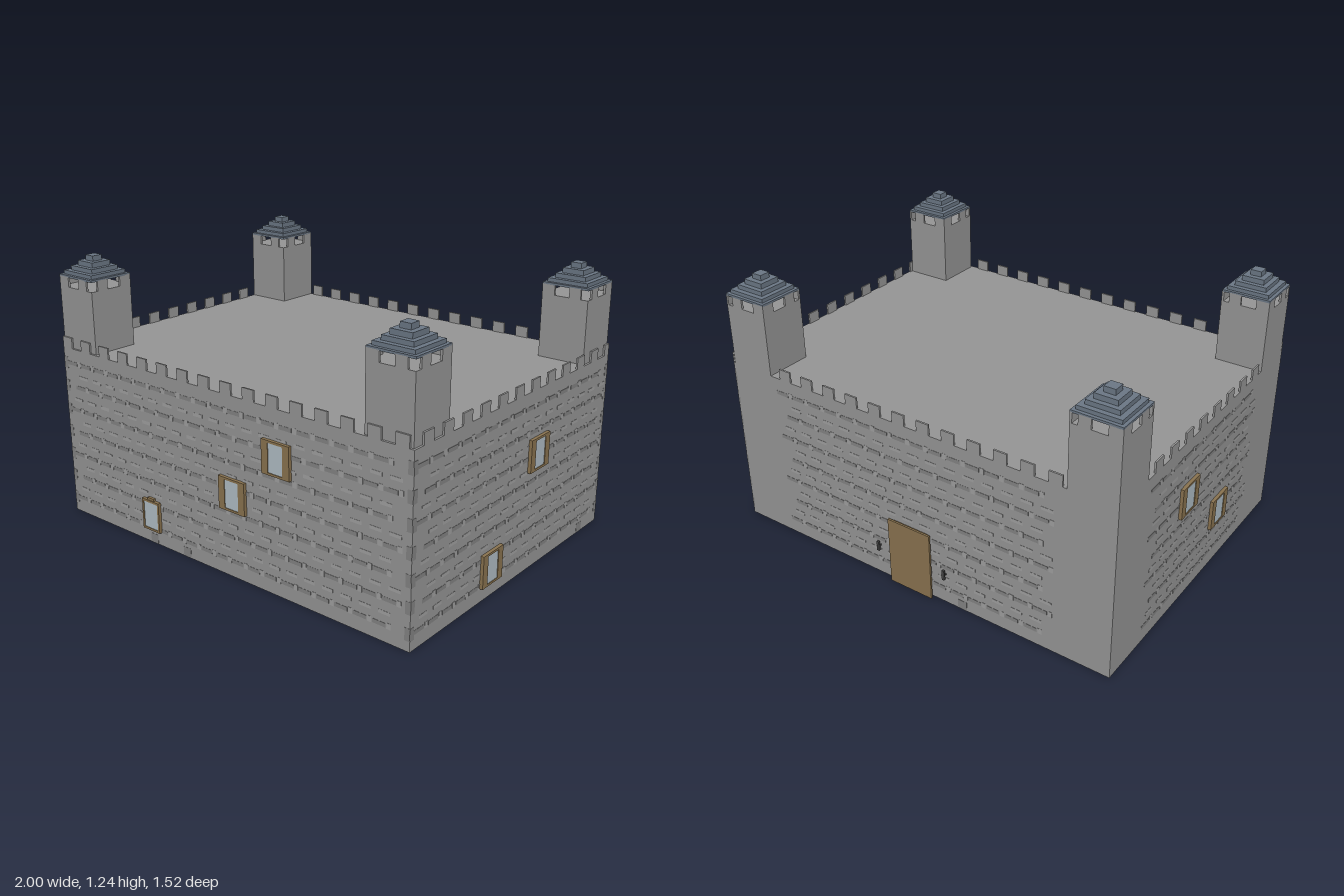
import * as THREE from 'three';
import { mergeGeometries } from 'three/addons/utils/BufferGeometryUtils.js';

const mat = (color) => new THREE.MeshStandardMaterial({ color });
const stone = mat(0x979797), darkStone = mat(0x858585), lightStone = mat(0xa2a2a2);
const slate = mat(0x6c7886), wood = mat(0x8b7450), glass = mat(0xb2bfc7), iron = mat(0x484848);

// Box given by its two opposite corners
function boxGeo(x0, x1, y0, y1, z0, z1) {
  return new THREE.BoxGeometry(x1 - x0, y1 - y0, z1 - z0)
    .translate((x0 + x1) / 2, (y0 + y1) / 2, (z0 + z1) / 2);
}
function add(parent, name, geos, material) {
  const list = Array.isArray(geos) ? geos : [geos];
  const mesh = new THREE.Mesh(mergeGeometries(list), material);
  mesh.name = name;
  parent.add(mesh);
}

// Window in wall space: wood frame of four bars around a shallow pane
function addWindow(wall, u, y, w, h, side, rail) {
  const g = new THREE.Group();
  g.name = 'window';
  const d = 0.015, a = w / 2, b = h / 2;
  add(g, 'windowFrame', [
    boxGeo(-a, -a + side, -b, b, -0.01, d),
    boxGeo(a - side, a, -b, b, -0.01, d),
    boxGeo(-a + side, a - side, b - rail, b, -0.01, d),
    boxGeo(-a + side, a - side, -b, -b + rail, -0.01, d),
  ], wood);
  add(g, 'windowPane', boxGeo(-a + side, a - side, -b + rail, b - rail, -0.01, 0.012), glass);
  g.position.set(u, y, 0);
  wall.add(g);
  return g;
}

// Staggered courses of barely raised bricks, dark and light
function addBricks(wall, u0, u1) {
  const dark = [], light = [];
  const pitch = 0.093, row = 0.112, out = 0.001;
  for (let r = 0; r < 7; r++) {
    const y = 0.073 + r * row;
    const shift = (r % 2) * pitch / 2;
    for (let u = u0 + 0.025 + shift; u + pitch < u1; u += pitch) {
      dark.push(boxGeo(u, u + 0.065, y - 0.009, y + 0.009, -0.01, out));
      light.push(boxGeo(u + 0.069, u + 0.089, y - 0.012, y + 0.014, -0.01, out));
      if (r < 6) light.push(boxGeo(u + 0.03, u + 0.085, y + 0.045, y + 0.06, -0.01, out));
    }
  }
  add(wall, 'darkBricks', dark, darkStone);
  add(wall, 'lightBricks', light, lightStone);
}

// Battlement teeth along the top edge
function addMerlons(wall, start, end, min) {
  const teeth = [];
  for (let u = start; u < end - 0.01; u += 0.1257) {
    teeth.push(boxGeo(Math.max(u, min), Math.min(u + 0.0625, end), 0.815, 0.865, -0.008, 0));
  }
  add(wall, 'merlons', teeth, stone);
}

// Small foundation block at the foot of a wall
function addBlock(wall, u) {
  add(wall, 'footBlock', boxGeo(u - 0.023, u + 0.023, 0, 0.045, -0.01, 0.001), darkStone);
}

// Corner tower: shaft, open lookout with posts, stepped slate roof
function makeTower(x, z) {
  const t = new THREE.Group();
  t.name = 'tower';
  const h = 0.11, thick = 0.01;
  add(t, 'towerShaft', boxGeo(-h, h, 0, 1.1, -h, h), stone);
  const posts = [];
  for (const near of [-h, h - thick]) {
    for (const [a, b] of [[-h, -0.05], [0.02, 0.075]]) {
      posts.push(boxGeo(a, b, 1.1, 1.146, near, near + thick));
      posts.push(boxGeo(near, near + thick, 1.1, 1.146, a, b));
    }
  }
  add(t, 'lookoutPosts', posts, stone);
  const steps = [[0.11, 1.143, 1.153], [0.095, 1.153, 1.17], [0.072, 1.17, 1.19],
    [0.05, 1.19, 1.213], [0.025, 1.213, 1.237]];
  for (const [r, y0, y1] of steps) add(t, 'roofStep', boxGeo(-r, r, y0, y1, -r, r), slate);
  t.position.set(x, 0, z);
  return t;
}

export function createModel() {
  const castle = new THREE.Group();
  castle.name = 'castle';
  add(castle, 'keep', boxGeo(-0.985, 0.985, 0, 0.815, -0.735, 0.745), stone);

  // Walls: local x runs along the wall, local z points outward
  const makeWall = (name, angle, dist) => {
    const g = new THREE.Group();
    g.name = name;
    g.rotation.y = angle;
    g.position.set(Math.sin(angle) * dist, 0, Math.cos(angle) * dist);
    castle.add(g);
    return g;
  };
  const front = makeWall('frontWall', 0, 0.745);
  const back = makeWall('backWall', Math.PI, 0.735);
  const right = makeWall('rightWall', Math.PI / 2, 0.985);
  const left = makeWall('leftWall', -Math.PI / 2, 0.985);

  addBricks(front, -0.985, 0.985);
  addBricks(right, -0.745, 0.735);
  addBricks(back, -0.75, 0.76);
  addBricks(left, -0.51, 0.51);
  addMerlons(front, -0.985, 0.985, -0.985);
  addMerlons(right, -0.687, 0.735, -0.745);
  addMerlons(back, -0.70, 0.76, -0.75);
  addMerlons(left, -0.46, 0.51, -0.51);

  // Quoins on the brick-faced corners
  for (const [wall, u] of [[front, -0.985], [front, 0.96], [right, -0.745], [right, 0.71]]) {
    const quoins = [];
    for (let r = 0; r < 7; r++) quoins.push(boxGeo(u, u + 0.025, 0.045 + r * 0.112, 0.1 + r * 0.112, -0.01, 0.001));
    add(wall, 'quoins', quoins, darkStone);
  }

  // Shuttered windows
  const shuttered = [[front, 0.331, 0.608], [front, 0.083, 0.383], [right, -0.195, 0.137],
    [right, 0.14, 0.532], [left, -0.145, 0.532], [left, 0.175, 0.287]];
  for (const [wall, u, y] of shuttered) addWindow(wall, u, y, 0.147, 0.147, 0.035, 0.01);

  // Low plain window with a small cap
  const low = addWindow(front, -0.428, 0.138, 0.107, 0.145, 0.01, 0.01);
  add(low, 'windowCap', boxGeo(-0.02, 0.02, 0.0725, 0.084, -0.01, 0.012), wood);

  for (const u of [-0.425, -0.213]) addBlock(front, u);
  addBlock(right, 0.573);
  addBlock(back, 0.265);

  // Back gate on a narrower backing, with a lamp on each side
  add(back, 'gateBacking', boxGeo(-0.09, 0.093, 0, 0.32, -0.01, 0.013), wood);
  add(back, 'gate', boxGeo(-0.11, 0.113, 0, 0.33, 0.013, 0.022), wood);
  for (const u of [-0.177, 0.181]) {
    add(back, 'lamp', boxGeo(u - 0.006, u + 0.006, 0.133, 0.182, 0.013, 0.022), iron);
    add(back, 'lampBracket', boxGeo(u - 0.003, u + 0.003, 0.15, 0.156, -0.01, 0.013), iron);
  }

  for (const x of [-0.875, 0.865]) {
    for (const z of [-0.625, 0.625]) castle.add(makeTower(x, z));
  }
  return castle;
}
